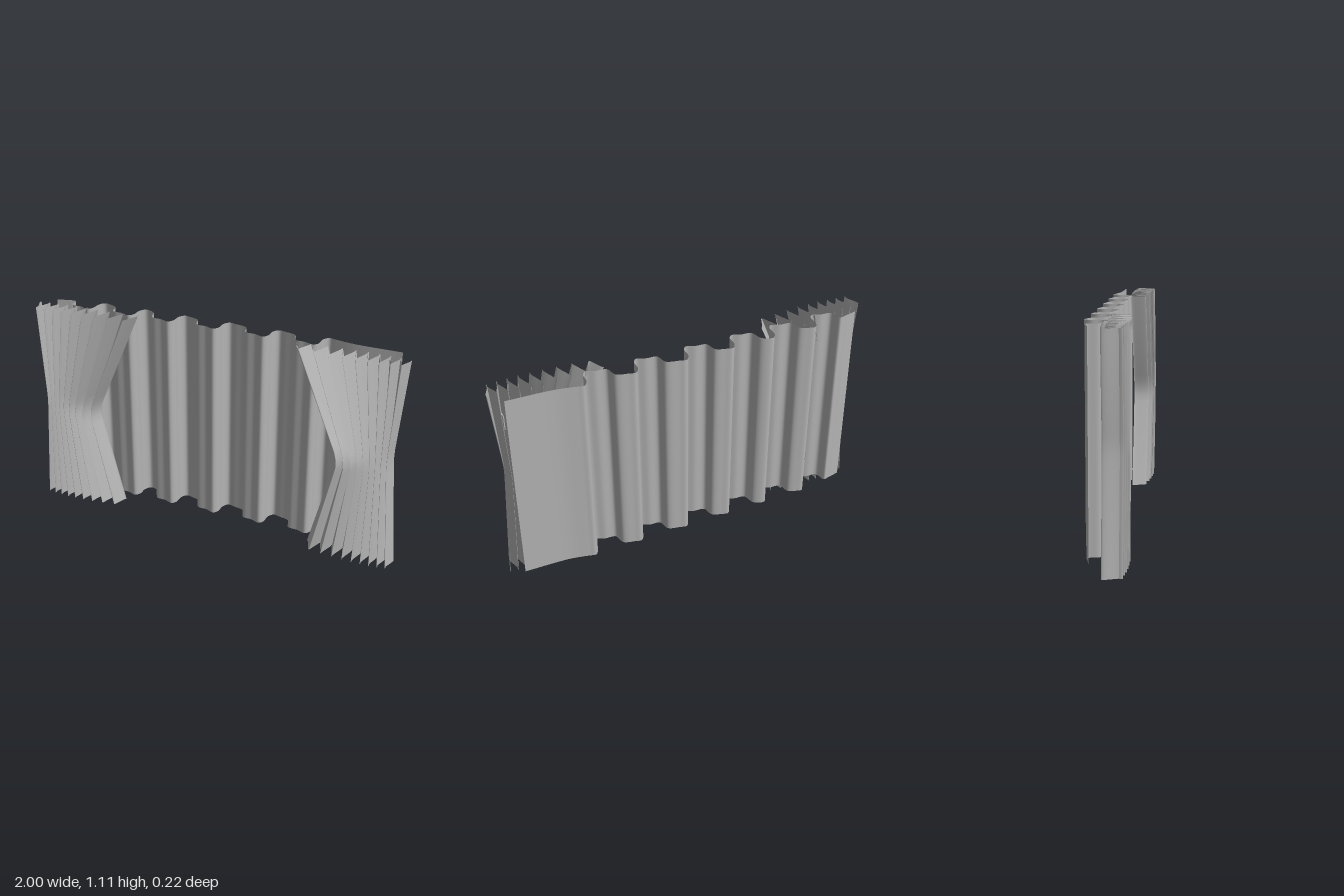
import * as THREE from 'three';

const fabric = new THREE.MeshStandardMaterial({ color: 0xb4b4b4, side: THREE.DoubleSide });
fabric.name = 'grey fabric';

// Grid surface from a rule point(u, v), both 0..1; flip reverses the corner order
function surface(name, point, nu, nv, flip = false) {
  const pos = [], index = [];
  for (let j = 0; j <= nv; j++)
    for (let i = 0; i <= nu; i++) pos.push(...point(i / nu, j / nv));
  for (let j = 0; j < nv; j++)
    for (let i = 0; i < nu; i++) {
      const a = j * (nu + 1) + i, b = a + 1, c = a + nu + 1, d = c + 1;
      if (flip) index.push(a, d, b, a, c, d);
      else index.push(a, b, d, a, d, c);
    }
  const geo = new THREE.BufferGeometry();
  geo.setAttribute('position', new THREE.Float32BufferAttribute(pos, 3));
  geo.setIndex(index);
  geo.computeVertexNormals();
  const mesh = new THREE.Mesh(geo, fabric);
  mesh.name = name;
  return mesh;
}

const H = 1.105;

// Back curtain: broad folds, rising gently on one side and dropping steeply on the other
function backCurtain() {
  const pts = [[-0.94, -0.06], [-0.87, -0.075]];
  for (const f of [-0.70, -0.46, -0.235, 0.015, 0.28, 0.54])
    pts.push([f - 0.14, -0.08], [f - 0.12, -0.02], [f - 0.065, -0.012], [f - 0.02, 0.004],
      [f, -0.02], [f + 0.003, -0.075], [f + 0.025, -0.107], [f + 0.06, -0.1]);
  pts.push([0.7, -0.08], [0.94, -0.07]);
  const curve = new THREE.CatmullRomCurve3(pts.map(([x, z]) => new THREE.Vector3(x, 0, z)), false, 'centripetal');
  const n = 320;
  const line = Array.from({ length: n + 1 }, (_, i) => curve.getPoint(i / n));
  return surface('backCurtain', (u, v) => {
    const p = line[Math.round(u * n)];
    return [p.x, 0.04 + v * (H - 0.04), p.z];
  }, n, 1);
}

// Piecewise line through the top, the gathered waist and the hem, with a softened waist
function gathered(y, hem, waist, top, yw) {
  const d = y - yw;
  const soft = Math.max(0, 0.05 - Math.abs(d)) ** 2 / 0.1;
  const reach = Math.abs(d) + soft;
  return d > 0 ? waist + (top - waist) * reach / (H - yw) : waist + (hem - waist) * reach / yw;
}

// Side drape: narrow pleats pinched together at mid height
function drape(name, side) {
  const folds = 9;
  return surface(name, (u, v) => {
    const y = v * H;
    const a = 2 * Math.PI * folds * u;
    // pleats widen toward the inner edge and overhang a little
    const t = 0.78 * u + 0.22 * u ** 3 - 0.013 * Math.sin(2 * a) * (1 - u ** 6);
    const yw = 0.59 - 0.05 * u;
    const outer = gathered(y, 1.0, 0.955, 1.0, yw);
    const inner = gathered(y, 0.535, 0.675, 0.425, yw);
    const x = outer + (inner - outer) * t;
    // depth of the pleats swells in the middle and fades at the inner edge
    const mid = 0.048 + 0.006 * Math.sin(Math.PI * u) * Math.sin(Math.PI * v);
    const amp = (0.046 + 0.016 * Math.sin(Math.PI * u)) * (1 - 0.25 * u ** 8);
    const z = mid - 0.01 * u ** 8 - amp * Math.cos(a);
    return [side * x, y, z];
  }, folds * 20, 28, side > 0);
}

export function createModel() {
  const group = new THREE.Group();
  group.name = 'curtains';
  group.add(backCurtain());
  group.add(drape('leftDrape', 1), drape('rightDrape', -1));

  // Small tab at the outer edge of the left drape
  const tab = new THREE.Mesh(new THREE.BoxGeometry(0.005, 0.075, 0.035), fabric);
  tab.name = 'hangingTab';
  tab.position.set(0.94, 0.948, -0.002);
  group.add(tab);
  return group;
}
